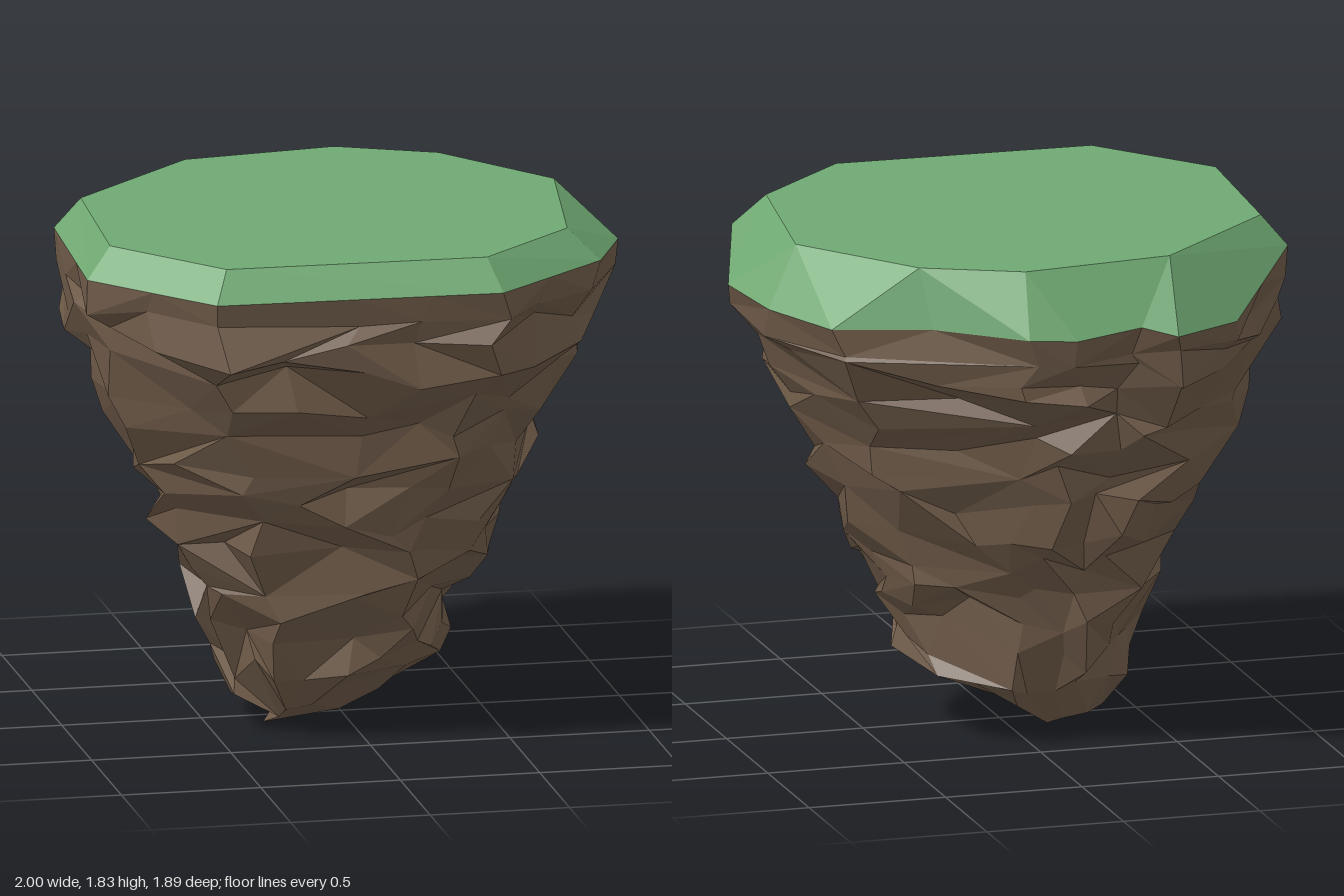
import * as THREE from 'three';

// Grass cap: rim corner x, y, z followed by the top corner x, z it rises to
const RIM = [
  [-0.96, 1.72, -0.32, -0.87, -0.29], [-0.65, 1.57, -0.73, -0.40, -0.74],
  [-0.37, 1.59, -0.95, -0.40, -0.74], [-0.25, 1.62, -0.90, -0.40, -0.74],
  [0.00, 1.60, -0.95, 0.15, -0.81], [0.17, 1.61, -0.93, 0.15, -0.81],
  [0.46, 1.62, -0.72, 0.49, -0.65], [0.79, 1.61, -0.58, 0.49, -0.65],
  [0.93, 1.62, -0.28, 0.81, -0.21], [1.00, 1.65, -0.02, 0.81, -0.21],
  [0.82, 1.72, 0.53, 0.71, 0.48], [0.39, 1.72, 0.91, 0.35, 0.82],
  [-0.63, 1.72, 0.88, -0.58, 0.80], [-1.00, 1.72, 0.43, -0.91, 0.39],
];
const TOP_Y = 1.83;

// Rock profile: height, then scale of the rim towards -x, +x, +z and -z
const PROFILE = [
  [1.62, 0.99, 0.98, 1.00, 0.98], [1.53, 0.98, 0.94, 1.01, 0.98],
  [1.43, 0.96, 0.89, 0.97, 0.95], [1.30, 0.89, 0.84, 0.89, 0.86],
  [1.18, 0.84, 0.79, 0.82, 0.82], [1.05, 0.81, 0.74, 0.77, 0.77],
  [0.92, 0.75, 0.68, 0.73, 0.73], [0.80, 0.70, 0.62, 0.71, 0.69],
  [0.67, 0.65, 0.56, 0.66, 0.60], [0.54, 0.59, 0.51, 0.62, 0.55],
  [0.42, 0.54, 0.46, 0.56, 0.51], [0.30, 0.50, 0.43, 0.48, 0.46],
  [0.17, 0.47, 0.42, 0.45, 0.41], [0.06, 0.42, 0.38, 0.40, 0.36],
  [0.05, 0.23, 0.20, 0.22, 0.20],
];

let seed = 1;
function random() {
  seed = (seed * 16807) % 2147483647;
  return seed / 2147483647;
}

// Collects triangles, leaving out any that have collapsed
function addTriangle(out, a, b, c) {
  if (new THREE.Triangle(a, b, c).getArea() < 1e-6) return;
  for (const p of [a, b, c]) out.push(p.x, p.y, p.z);
}

// Joins two closed loops, optionally flipping quad diagonals at random
function addBand(out, upper, lower, mixed) {
  upper.forEach((u, i) => {
    const j = (i + 1) % upper.length;
    if (mixed && random() < 0.5) {
      addTriangle(out, lower[i], u, lower[j]);
      addTriangle(out, u, upper[j], lower[j]);
    } else {
      addTriangle(out, lower[i], u, upper[j]);
      addTriangle(out, lower[i], upper[j], lower[j]);
    }
  });
}

function facetedMesh(name, positions, color) {
  const geometry = new THREE.BufferGeometry();
  geometry.setAttribute('position', new THREE.Float32BufferAttribute(positions, 3));
  geometry.computeVertexNormals();
  const material = new THREE.MeshStandardMaterial({ color, flatShading: true });
  const mesh = new THREE.Mesh(geometry, material);
  mesh.name = name;
  return mesh;
}

function createGrass(rim) {
  const out = [];
  const top = RIM.map((r) => new THREE.Vector3(r[3], TOP_Y, r[4]));
  const centre = new THREE.Vector3(0, TOP_Y, 0);
  addBand(out, top, rim, false);
  top.forEach((p, i) => addTriangle(out, centre, top[(i + 1) % top.length], p));
  return facetedMesh('grassTop', out, 0x6fa872);
}

// Height of the slanting underside: deepest just left of the middle
function undersideRise(p) {
  return Math.max(0, 0.5 * (p.x + 0.1)) + Math.max(0, 0.6 * (-0.32 - p.x))
    + Math.max(0, 0.35 * (p.z - 0.12)) * (p.x < 0.1 ? 1 : 0.3);
}

function createRock(rim) {
  // Long rim edges are split so the rock starts flush with the grass
  const start = [];
  rim.forEach((p, i) => {
    const next = rim[(i + 1) % rim.length];
    const count = Math.max(1, Math.round(p.distanceTo(next) / 0.25));
    for (let k = 0; k < count; k++) start.push(p.clone().lerp(next, k / count));
  });

  // Tapering, roughened rings
  const up = new THREE.Vector3(0, 1, 0);
  const rings = [start];
  PROFILE.forEach(([y, left, right, front, back], row) => {
    const ring = [];
    const rough = row === 0 ? 0.04 : 0.11;
    const merge = 0.15 + 0.3 * (1 - y / 1.7);
    start.forEach((s, i) => {
      // Odd points sometimes merge with their neighbour, giving larger facets
      if (i % 2 && random() < merge) {
        ring.push(ring[i - 1]);
        return;
      }
      const p = new THREE.Vector3(s.x * (s.x < 0 ? left : right), 0, s.z * (s.z > 0 ? front : back));
      const radius = p.length();
      p.multiplyScalar(1 + ((random() - 0.65) * Math.min(rough, radius * 0.3)) / radius);
      p.applyAxisAngle(up, ((random() - 0.5) * 0.11) / Math.max(radius, 0.5));
      const base = undersideRise(p) * Math.max(0, 1 - y / 0.8);
      const sag = (s.y - 1.72) * Math.max(0, (y - 1.1) / 0.6);
      p.y = Math.max(0.03, y + base + sag + (random() - 0.5) * (row === 0 ? 0.05 : 0.1));
      ring.push(p);
    });
    rings.push(ring);
  });

  // Underside, with its lowest corner drawn down to the ground
  const last = rings[rings.length - 1];
  const lowest = last.reduce((a, b) => (b.x - b.z < a.x - a.z ? b : a));
  lowest.set(-0.3, 0, 0.1);
  const centre = new THREE.Vector3(-0.08, 0.06, 0);

  const out = [];
  for (let i = 1; i < rings.length; i++) addBand(out, rings[i - 1], rings[i], true);
  last.forEach((p, i) => addTriangle(out, centre, p, last[(i + 1) % last.length]));
  return facetedMesh('rock', out, 0x6e5a48);
}

export function createModel() {
  seed = 90533;
  const rim = RIM.map((r) => new THREE.Vector3(r[0], r[1], r[2]));
  const island = new THREE.Group();
  island.name = 'floatingIsland';
  island.add(createGrass(rim), createRock(rim));
  return island;
}
